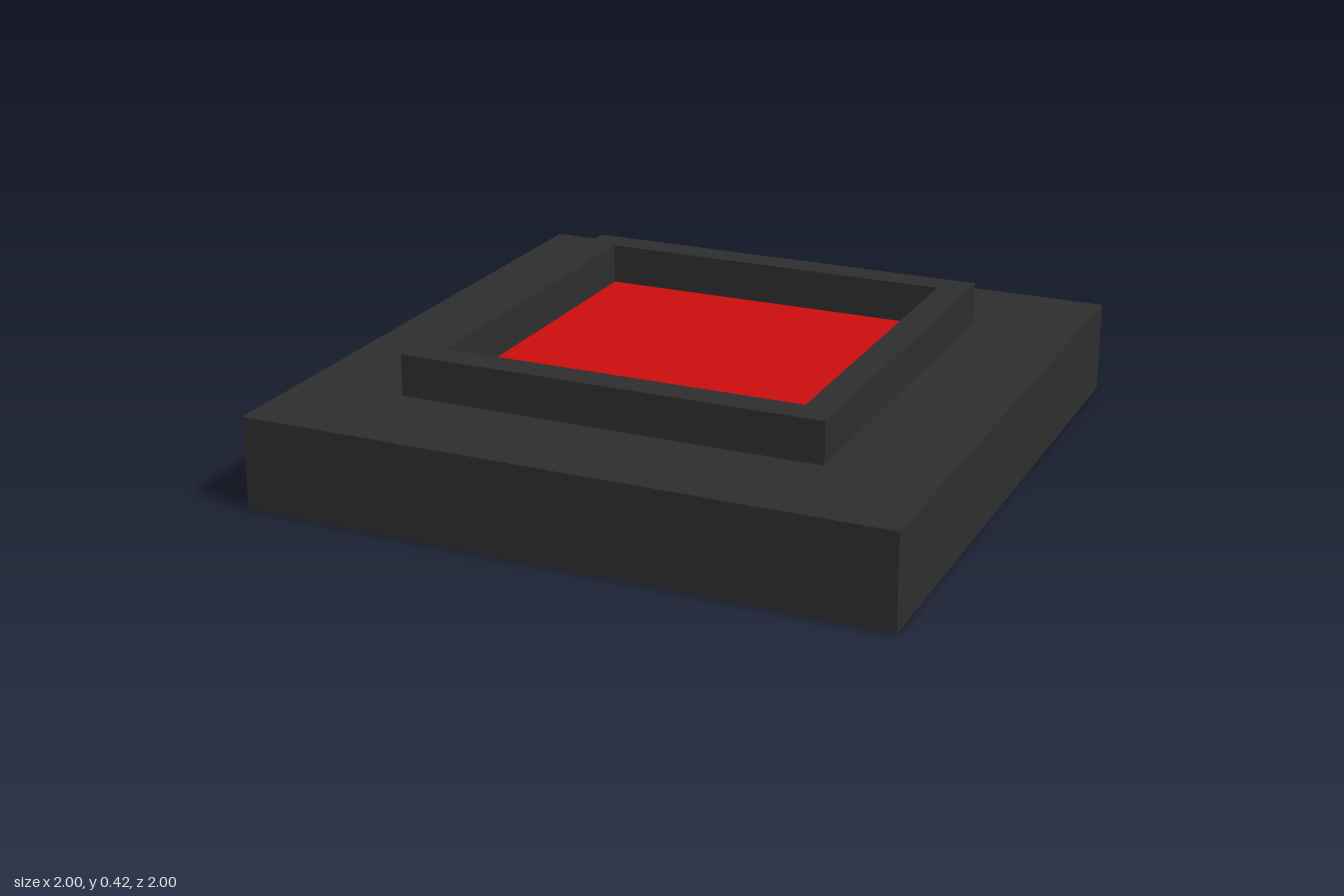
import * as THREE from 'three';

const BASE_TOP = 0.29, RIM_TOP = 0.42, RIM_OUTER = 0.665, RIM_INNER = 0.57;

// Square outline with the given half width
function trace(path, h) {
  path.moveTo(-h, -h);
  path.lineTo(h, -h);
  path.lineTo(h, h);
  path.lineTo(-h, h);
  path.closePath();
  return path;
}

export function createModel() {
  const group = new THREE.Group();
  const charcoal = new THREE.MeshStandardMaterial({ color: 0x2e2e2e });
  charcoal.name = 'charcoal';
  const red = new THREE.MeshStandardMaterial({ color: 0xcc0d0d });
  red.name = 'red';

  const add = (name, geometry, material, y) => {
    const mesh = new THREE.Mesh(geometry, material);
    mesh.name = name;
    mesh.position.y = y;
    group.add(mesh);
  };

  // Square slab
  add('base', new THREE.BoxGeometry(2, BASE_TOP, 2), charcoal, BASE_TOP / 2);

  // Raised square frame
  const outline = trace(new THREE.Shape(), RIM_OUTER);
  outline.holes.push(trace(new THREE.Path(), RIM_INNER));
  const rim = new THREE.ExtrudeGeometry(outline, { depth: RIM_TOP - BASE_TOP, bevelEnabled: false });
  rim.rotateX(-Math.PI / 2);
  add('rim', rim, charcoal, BASE_TOP);

  // Red panel on the floor of the frame
  add('panel', new THREE.BoxGeometry(RIM_INNER * 2, 0.004, RIM_INNER * 2), red, BASE_TOP);

  return group;
}
